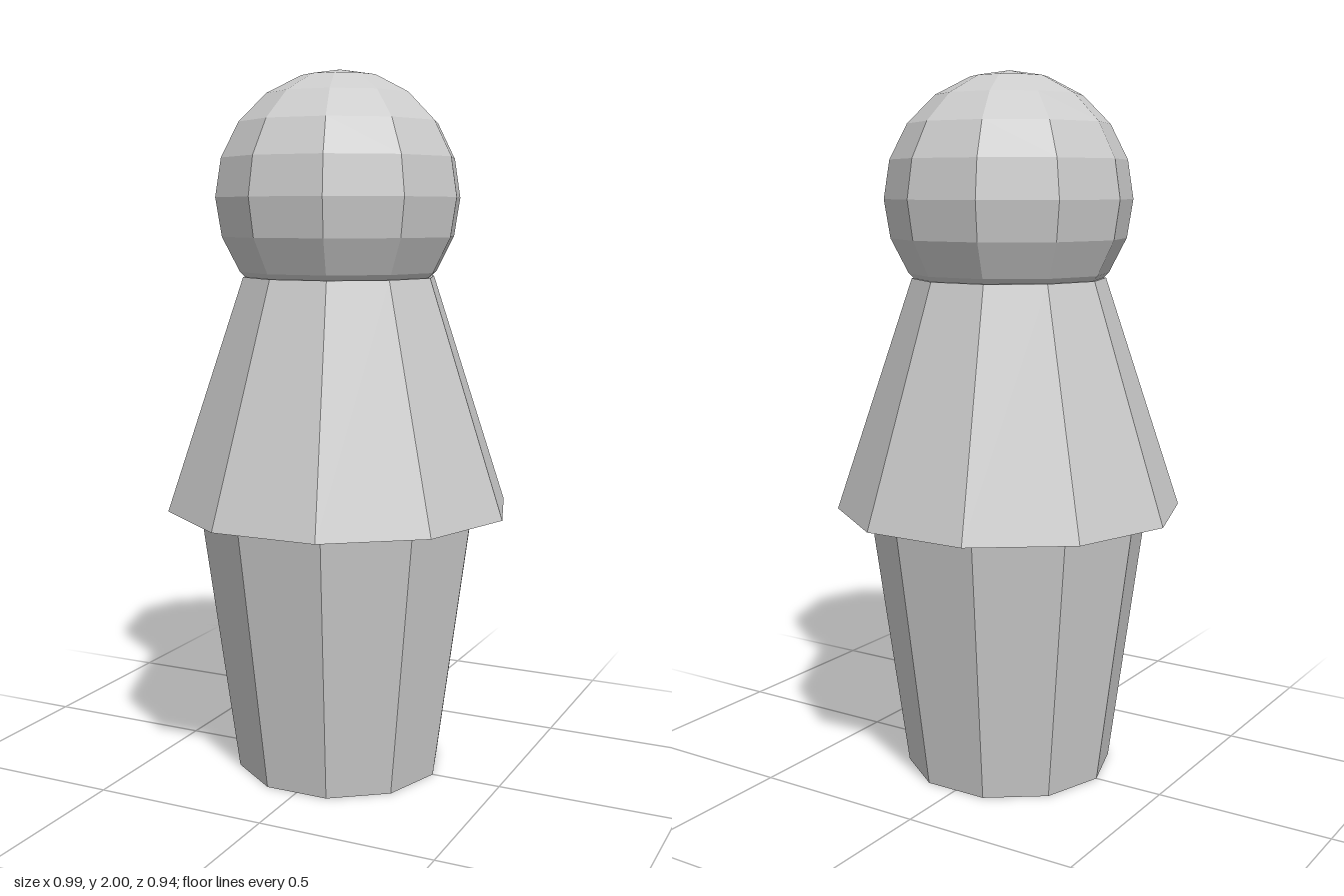
import * as THREE from 'three';

const SIDES = 10;

export function createModel() {
  const group = new THREE.Group();
  const material = new THREE.MeshStandardMaterial({ color: 0xcccccc, flatShading: true });

  const add = (name, geometry, y) => {
    const mesh = new THREE.Mesh(geometry, material);
    mesh.name = name;
    mesh.position.y = y;
    group.add(mesh);
  };

  // Ten-sided capped frustum from y0 to y1, with a corner on the x axis
  const frustum = (name, rBottom, rTop, y0, y1) =>
    add(name, new THREE.CylinderGeometry(rTop, rBottom, y1 - y0, SIDES, 1, false, Math.PI / 2), (y0 + y1) / 2);

  frustum('lowerBody', 0.298, 0.403, 0, 0.77);
  frustum('flaredTorso', 0.495, 0.275, 0.77, 1.43);

  // Faceted head, sunk slightly into the torso
  add('head', new THREE.SphereGeometry(0.35, SIDES, SIDES), 1.65);

  return group;
}
